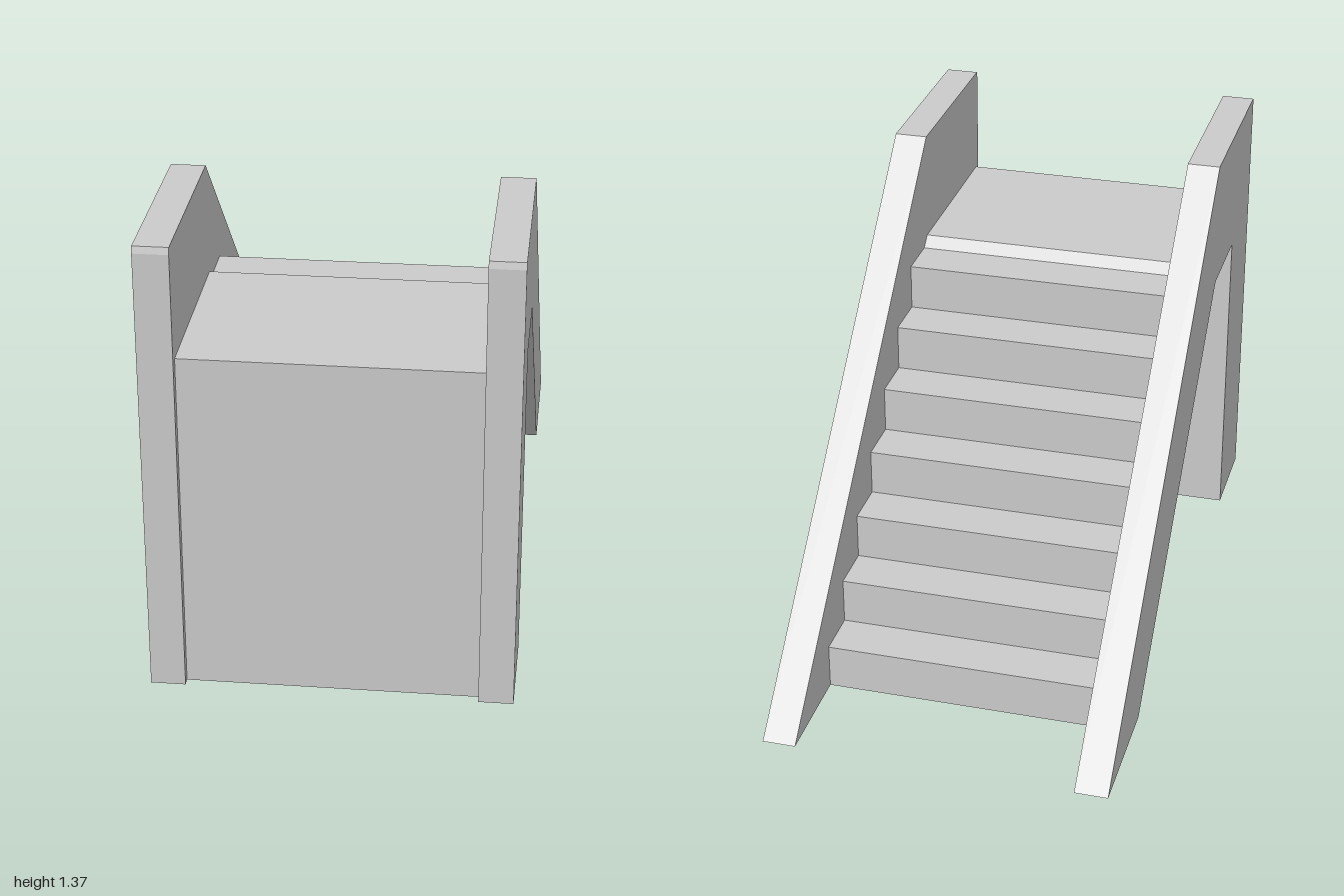
import * as THREE from 'three';

const material = new THREE.MeshStandardMaterial({ color: 0xcccccc, flatShading: true });

// Extrude a side profile of [z, y] points across x, from x0 to x1
function slab(name, points, x0, x1) {
  const shape = new THREE.Shape(points.map(([z, y]) => new THREE.Vector2(-z, y)));
  const geometry = new THREE.ExtrudeGeometry(shape, { depth: x1 - x0, bevelEnabled: false });
  geometry.rotateY(Math.PI / 2);
  geometry.translate(x0, 0, 0);
  const mesh = new THREE.Mesh(geometry, material);
  mesh.name = name;
  return mesh;
}

export function createModel() {
  const group = new THREE.Group();
  group.name = 'staircase';

  const inner = 0.42, outer = 0.52;
  // Underside shared by the walls and the flight: foot, soffit, pillar
  const underside = [[-0.6, 0.01], [0.42, 0.97], [0.705, 0.97], [0.705, 0]];

  // Side walls with sloping top rail
  const wall = [...underside, [1, 0], [1, 1.345], [0.995, 1.365], [0.41, 1.365], [-1, 0.01]];
  group.add(slab('leftWall', wall, inner, outer));
  group.add(slab('rightWall', wall, -outer, -inner));

  // Landing, pillar and stepped flight between the walls
  const flight = [...underside, [0.975, 0], [0.975, 1.03], [0.4, 1.03], [0.365, 1.0]];
  const steps = 7, run = 0.15, rise = 0.142;
  for (let i = steps - 1; i >= 0; i--) {
    const z = -0.68 + i * run;
    const top = 0.148 + i * rise;
    flight.push([z, top], [z, i === 0 ? 0.01 : top - rise]);
  }
  group.add(slab('stepsAndLanding', flight, -inner, inner));

  return group;
}
